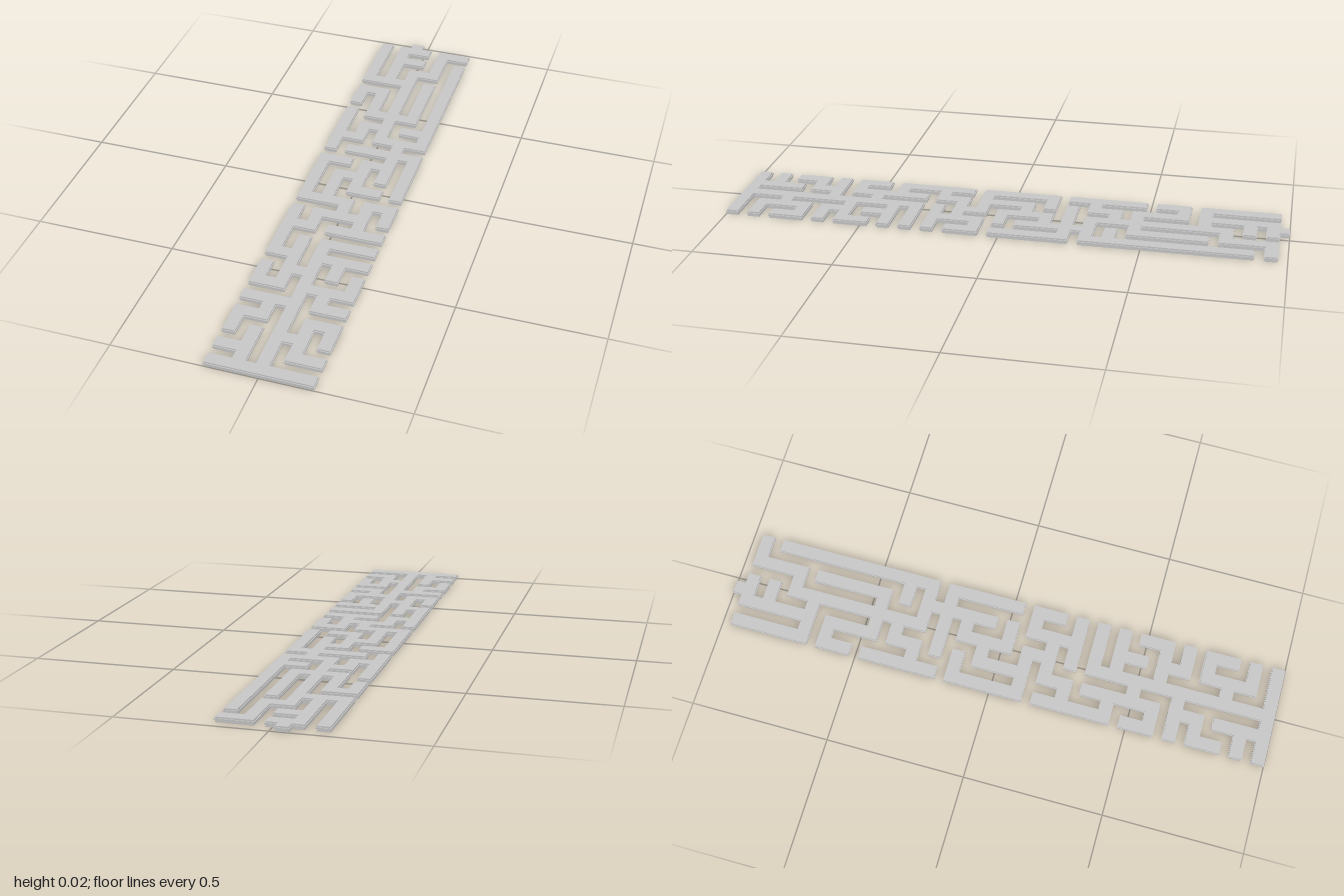
import * as THREE from 'three';

// Maze plan, back row first: 'o' is a cell, '-' and '|' join neighbours
const PLAN = [
  'o o-o o-o',
  '| |   |  ',
  'o o-o o o',
  '| |   | |',
  'o o o-o o',
  '| | |   |',
  'o-o-o o o',
  '    | | |',
  'o-o o o o',
  '| | | | |',
  'o o o o o',
  '  | | | |',
  'o o-o-o o',
  '|   |   |',
  'o o-o o-o',
  '| | |   |',
  'o-o o-o-o',
  '|     |  ',
  'o o-o-o-o',
  '      | |',
  'o-o o-o o',
  '|   | | |',
  'o o-o o o',
  '| | |   |',
  'o o o-o o',
  '| |      ',
  'o-o-o o-o',
  '    | | |',
  'o o-o-o o',
  '| |   |  ',
  'o-o o-o-o',
  '|        ',
  'o o o-o-o',
  '| | |    ',
  'o-o o-o-o',
  '  | | |  ',
  'o o-o o o',
  '| | |   |',
  'o-o o-o-o',
  '    | |  ',
  'o-o-o o-o',
  '  | |    ',
  'o-o o o-o',
  '|   | | |',
  'o o o-o o',
  '  | | |  ',
  'o-o o o-o',
  '  | |    ',
  'o-o-o-o-o',
];
const PITCH = 0.08;
const HALF = 0.0243;   // half width of a bar at its widest
const LIP = 0.003;     // how far the middle layer stands out
const BACK = 0.976 - 24 * PITCH;
const DIRS = [[1, 0], [0, 1], [-1, 0], [0, -1]];

const linked = (c, r, [dx, dy]) => {
  const mark = PLAN[2 * r + dy]?.[2 * c + dx];
  return mark === '-' || mark === '|';
};

// Walk once around the branching path and collect its outline (x, -z)
function outline(half) {
  const points = [];
  // 'from' is the direction leading back to the cell we came from
  const visit = (c, r, from) => {
    for (let i = 1; i <= 4; i++) {
      const a = (from + i) % 4;
      const d = DIRS[a], p = DIRS[(a + 3) % 4];
      // corner lying between the previous direction and this one
      points.push(new THREE.Vector2(
        (c - 2) * PITCH + half * (d[0] + p[0]),
        -(BACK + r * PITCH + half * (d[1] + p[1]))));
      if (i < 4 && linked(c, r, d)) visit(c + d[0], r + d[1], (a + 2) % 4);
    }
  };
  visit(0, 0, 3);
  return new THREE.Shape(points);
}

// Short stub at the back edge
function stub(half) {
  const x = -PITCH / 2, end = 1 - (HALF - half), start = -(BACK - half);
  return new THREE.Shape([
    new THREE.Vector2(x - half, start), new THREE.Vector2(x + half, start),
    new THREE.Vector2(x + half, end), new THREE.Vector2(x - half, end),
  ]);
}

export function createModel() {
  const model = new THREE.Group();
  model.name = 'mazePlate';
  const material = new THREE.MeshStandardMaterial({ color: 0xcccccc, flatShading: true });
  // Three stacked layers, the middle one slightly wider
  const layers = [
    ['lower', 0, 0.008, HALF - LIP],
    ['middle', 0.008, 0.013, HALF],
    ['upper', 0.013, 0.018, HALF - LIP],
  ];
  for (const [name, y0, y1, half] of layers) {
    for (const [part, shape] of [['Path', outline(half)], ['Entrance', stub(half)]]) {
      const geometry = new THREE.ExtrudeGeometry(shape, { depth: y1 - y0, bevelEnabled: false });
      geometry.rotateX(-Math.PI / 2).translate(0, y0, 0);
      const mesh = new THREE.Mesh(geometry, material);
      mesh.name = name + part;
      model.add(mesh);
    }
  }
  return model;
}
